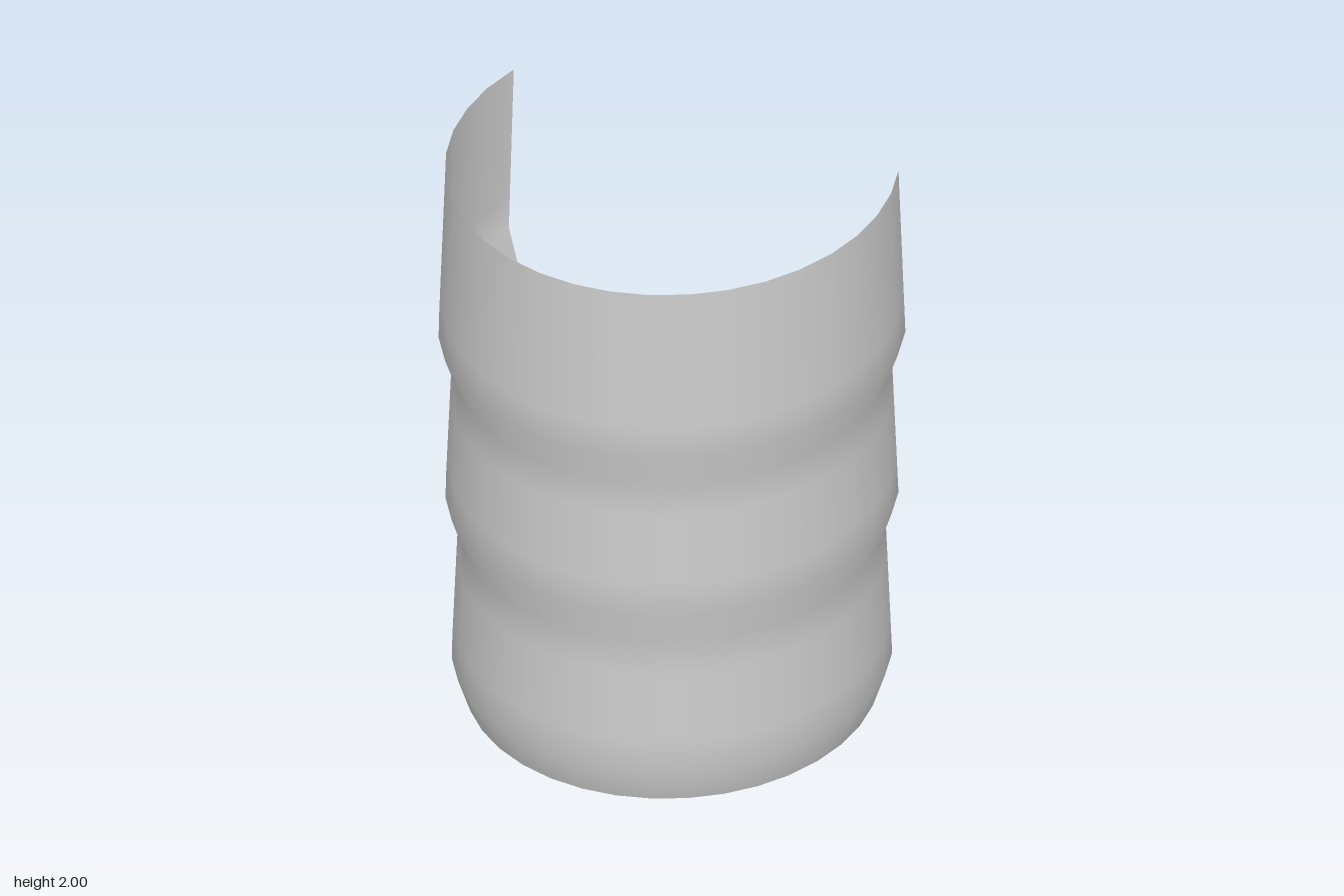
import * as THREE from 'three';

// Corners of the wall profile: [radius, height]
const CORNERS = [
  [0.66, 0], [0.70, 0.125], [0.68, 0.625], [0.72, 0.75],
  [0.70, 1.25], [0.742, 1.375], [0.72, 2],
];
const ROW = 0.125;

// Split each straight run into even rows so that shading bends only near the ribs
function profile() {
  const points = [new THREE.Vector2(...CORNERS[0])];
  for (let i = 1; i < CORNERS.length; i++) {
    const a = new THREE.Vector2(...CORNERS[i - 1]);
    const b = new THREE.Vector2(...CORNERS[i]);
    const rows = Math.round((b.y - a.y) / ROW);
    for (let k = 1; k <= rows; k++) points.push(a.clone().lerp(b, k / rows));
  }
  return points;
}

export function createModel() {
  const grey = new THREE.MeshStandardMaterial({ color: 0xcccccc, side: THREE.DoubleSide });
  grey.name = 'light grey';

  // Thin ribbed sleeve, open at the back, slightly deeper than wide
  const arc = THREE.MathUtils.degToRad(220);
  const geometry = new THREE.LatheGeometry(profile(), 22, -arc / 2, arc);
  geometry.scale(1, 1, 1.048);
  geometry.translate(0, 0, -0.26);

  const sleeve = new THREE.Mesh(geometry, grey);
  sleeve.name = 'ribbedSleeve';

  const model = new THREE.Group();
  model.name = 'openRibbedSleeve';
  model.add(sleeve);
  return model;
}
